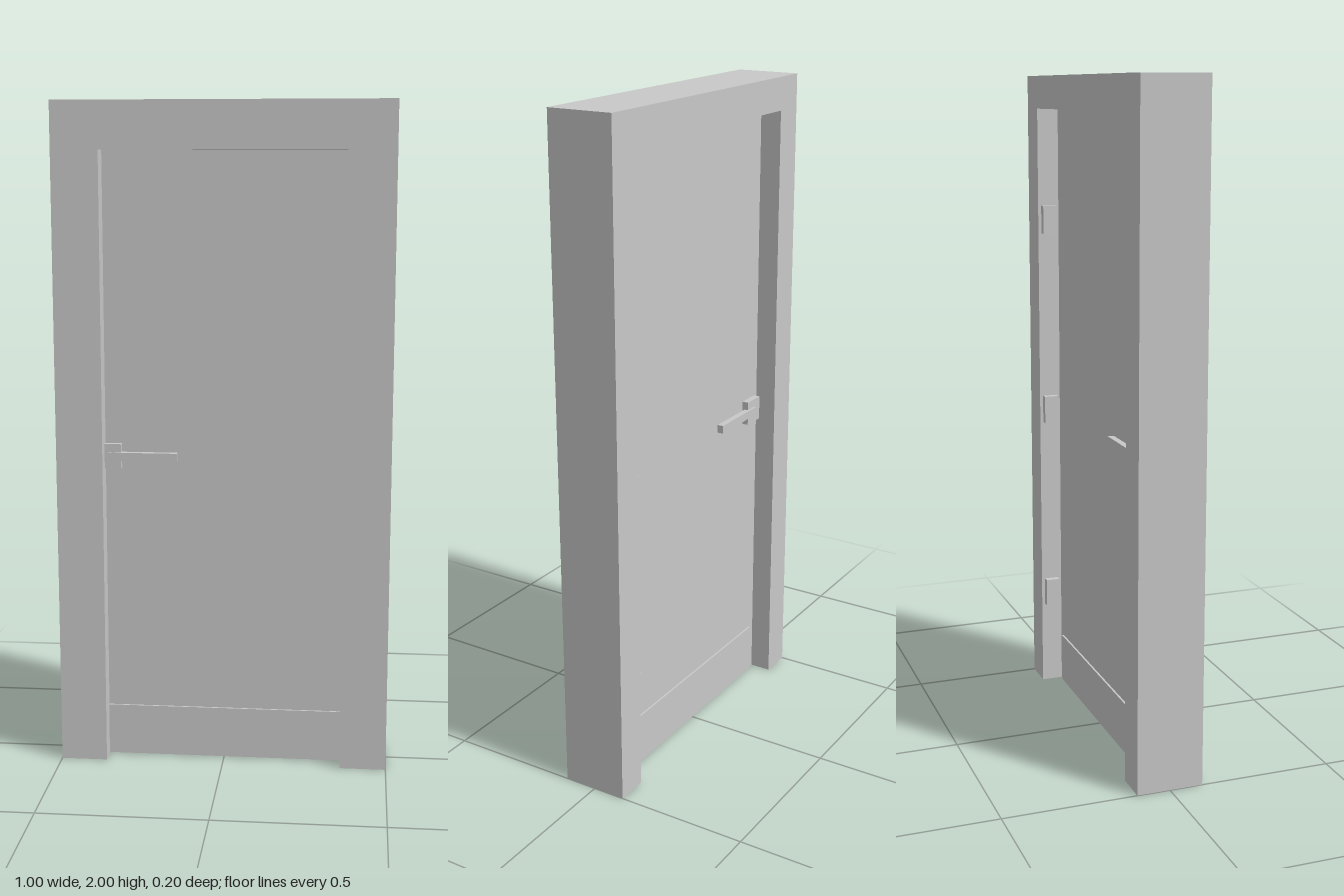
import * as THREE from 'three';

export function createModel() {
  const model = new THREE.Group();
  model.name = 'door';
  const grey = new THREE.MeshStandardMaterial({ color: 0xc8c8c8 });
  grey.name = 'light grey';

  const add = (name, geometry, parent = model) => {
    const mesh = new THREE.Mesh(geometry, grey);
    mesh.name = name;
    parent.add(mesh);
    return mesh;
  };
  // box given by its lower and upper limits on each axis
  const box = (name, [x0, x1], [y0, y1], [z0, z1], parent) =>
    add(name, new THREE.BoxGeometry(x1 - x0, y1 - y0, z1 - z0), parent)
      .position.set((x0 + x1) / 2, (y0 + y1) / 2, (z0 + z1) / 2);

  // one layer of the surround: an upside-down U around the opening
  const surround = (name, halfOpening, openingTop, z0, z1) => {
    const points = [
      [-0.5, 0], [-halfOpening, 0], [-halfOpening, openingTop], [halfOpening, openingTop],
      [halfOpening, 0], [0.5, 0], [0.5, 2], [-0.5, 2],
    ].map(([x, y]) => new THREE.Vector2(x, y));
    const geometry = new THREE.ExtrudeGeometry(new THREE.Shape(points), { depth: z1 - z0, bevelEnabled: false });
    geometry.translate(0, 0, z0);
    add(name, geometry);
  };

  const doorFront = 0.04, doorBack = -0.033;

  // rebated frame: narrow opening in front, wider behind where the leaf sits
  surround('frameStop', 0.36, 1.86, doorFront, 0.1);
  surround('frameRebate', 0.4, 1.9, -0.1, doorFront);

  box('doorLeaf', [-0.4, 0.4], [0, 1.9], [doorBack, doorFront]);

  // kick plate and lever handle on both faces
  for (const [side, face, dir] of [['front', doorFront, 1], ['back', doorBack, -1]]) {
    const out = (a, b) => [face + dir * a, face + dir * b].sort((p, q) => p - q);
    box(side + 'KickPlate', [-0.375, 0.375], [0.003, 0.16], out(0, 0.006));

    const handle = new THREE.Group();
    handle.name = side + 'Handle';
    model.add(handle);
    box('rose', [-0.385, -0.31], [0.915, 0.99], out(0, 0.02), handle);
    box('lever', [-0.35, -0.14], [0.94, 0.965], out(0.008, 0.027), handle);
  }

  // three hinges on the rear reveal
  for (const y of [0.315, 0.94, 1.555]) {
    box('hinge', [0.378, 0.4], [y - 0.044, y + 0.044], [-0.09, -0.045]);
  }

  return model;
}
